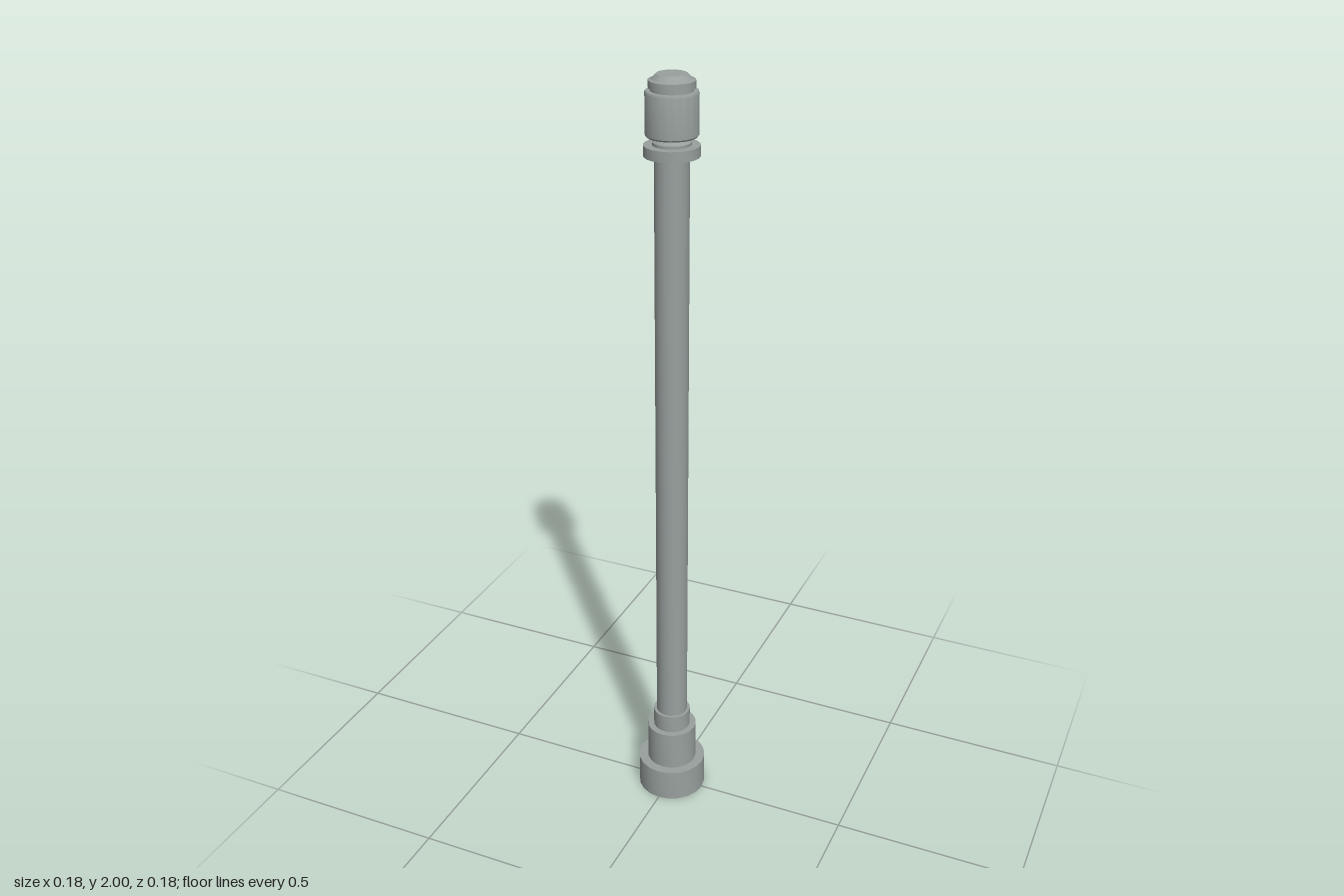
import * as THREE from 'three';
import { toCreasedNormals } from 'three/addons/utils/BufferGeometryUtils.js';

const SIDES = 20;

export function createModel() {
  const group = new THREE.Group();
  const material = new THREE.MeshStandardMaterial({ color: 0x98a09e });

  // Turned part from [radius, height] pairs, bottom to top
  function turned(name, profile) {
    const points = profile.map(([r, y]) => new THREE.Vector2(r, y));
    const geometry = toCreasedNormals(new THREE.LatheGeometry(points, SIDES), 0.5);
    const mesh = new THREE.Mesh(geometry, material);
    mesh.name = name;
    group.add(mesh);
  }

  // Stepped foot
  turned('base', [[0, 0], [0.092, 0], [0.092, 0.09], [0, 0.09]]);
  turned('lowerSleeve', [[0, 0.09], [0.067, 0.09], [0.067, 0.2], [0, 0.2]]);
  turned('upperSleeve', [[0, 0.2], [0.05, 0.2], [0.05, 0.25], [0, 0.25]]);

  // Long plain shaft
  turned('shaft', [[0.042, 0.25], [0.042, 1.815]]);

  // Flange and tapered neck below the head
  turned('flange', [[0, 1.812], [0.067, 1.812], [0.067, 1.838], [0, 1.838]]);
  turned('neck', [[0.046, 1.838], [0.046, 1.845], [0.036, 1.853], [0.036, 1.865]]);

  // Head with slightly eased rims
  turned('head', [[0, 1.858], [0.06, 1.858], [0.063, 1.862], [0.063, 1.958], [0.061, 1.962], [0, 1.962]]);
  turned('capNeck', [[0.05, 1.962], [0.05, 1.97]]);

  // Cap with a raised, tapered crown
  turned('cap', [[0, 1.968], [0.055, 1.968], [0.055, 1.986], [0.048, 1.988], [0.036, 2], [0, 2]]);

  return group;
}
